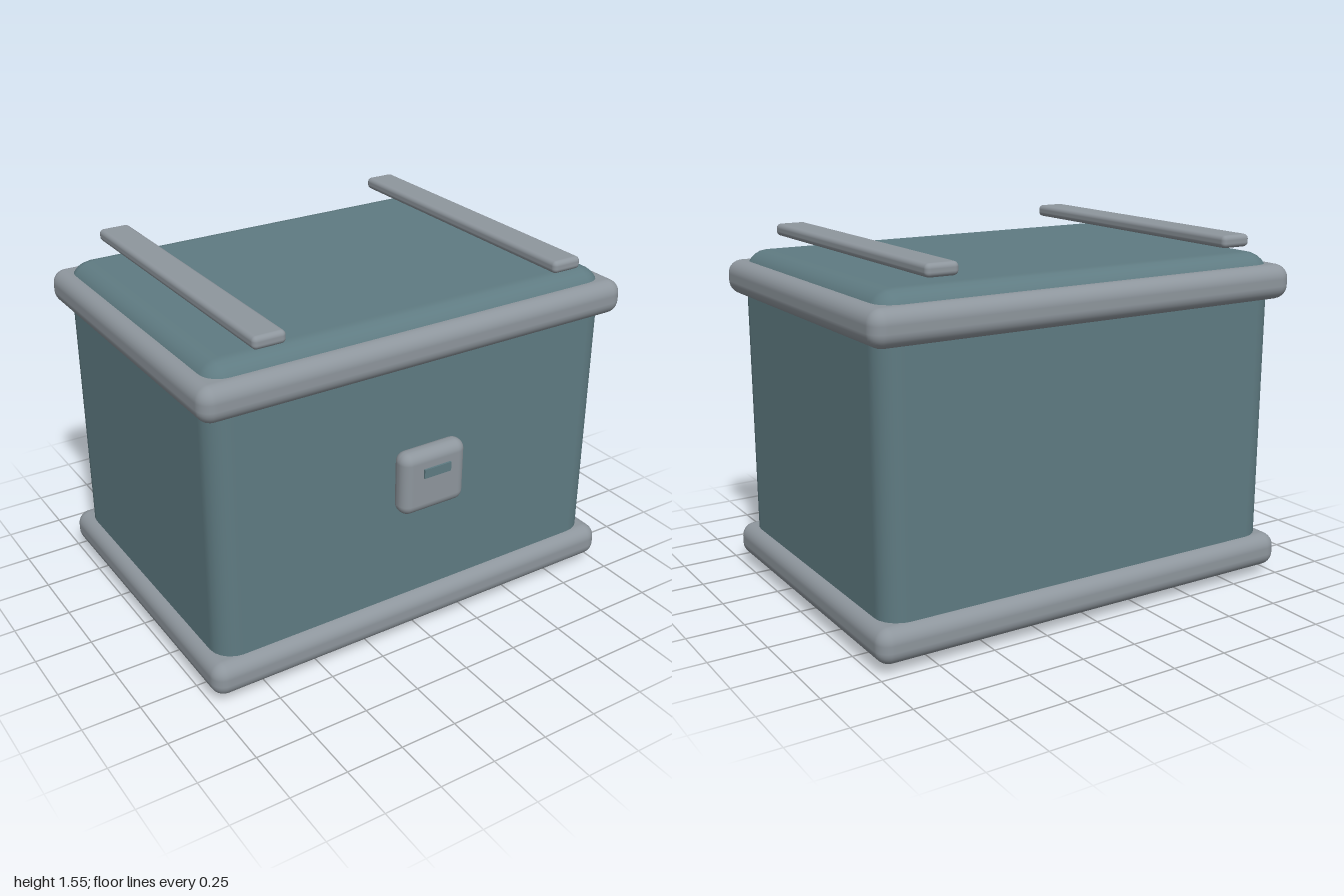
import * as THREE from 'three';
import { RoundedBoxGeometry } from 'three/addons/geometries/RoundedBoxGeometry.js';

const teal = new THREE.MeshStandardMaterial({ color: 0x5f7b82 });
teal.name = 'teal panel';
const grey = new THREE.MeshStandardMaterial({ color: 0x8e969d });
grey.name = 'grey metal';

// Rounded block given by its extents on each axis
function block(name, material, [x0, x1], [y0, y1], [z0, z1], radius, segments = 4) {
  const geometry = new RoundedBoxGeometry(x1 - x0, y1 - y0, z1 - z0, segments, radius);
  const mesh = new THREE.Mesh(geometry, material);
  mesh.position.set((x0 + x1) / 2, (y0 + y1) / 2, (z0 + z1) / 2);
  mesh.name = name;
  return mesh;
}

export function createModel() {
  const chest = new THREE.Group();
  chest.name = 'chest';

  // Main body
  chest.add(block('body', teal, [-0.95, 0.95], [0, 1.46], [-0.705, 0.64], 0.1, 3));

  // Bands around the base and the lid
  const rimZ = [-0.755, 0.69];
  chest.add(block('bottomRim', grey, [-1, 1], [0.04, 0.19], rimZ, 0.06));
  chest.add(block('topRim', grey, [-1, 1], [1.26, 1.41], rimZ, 0.06));

  // Rails floating just above the lid
  for (const side of [-1, 1]) {
    const x = side * 0.698;
    chest.add(block(side > 0 ? 'leftRail' : 'rightRail', grey,
      [x - 0.07, x + 0.07], [1.5, 1.553], [-0.725, 0.655], 0.02));
  }

  // Latch plate with its slot
  chest.add(block('latch', grey, [-0.158, 0.153], [0.64, 0.92], [0.65, 0.745], 0.045));
  const slot = new THREE.Mesh(new THREE.BoxGeometry(0.13, 0.04, 0.008), teal);
  slot.position.set(-0.002, 0.83, 0.753);
  slot.name = 'latchSlot';
  chest.add(slot);

  return chest;
}
